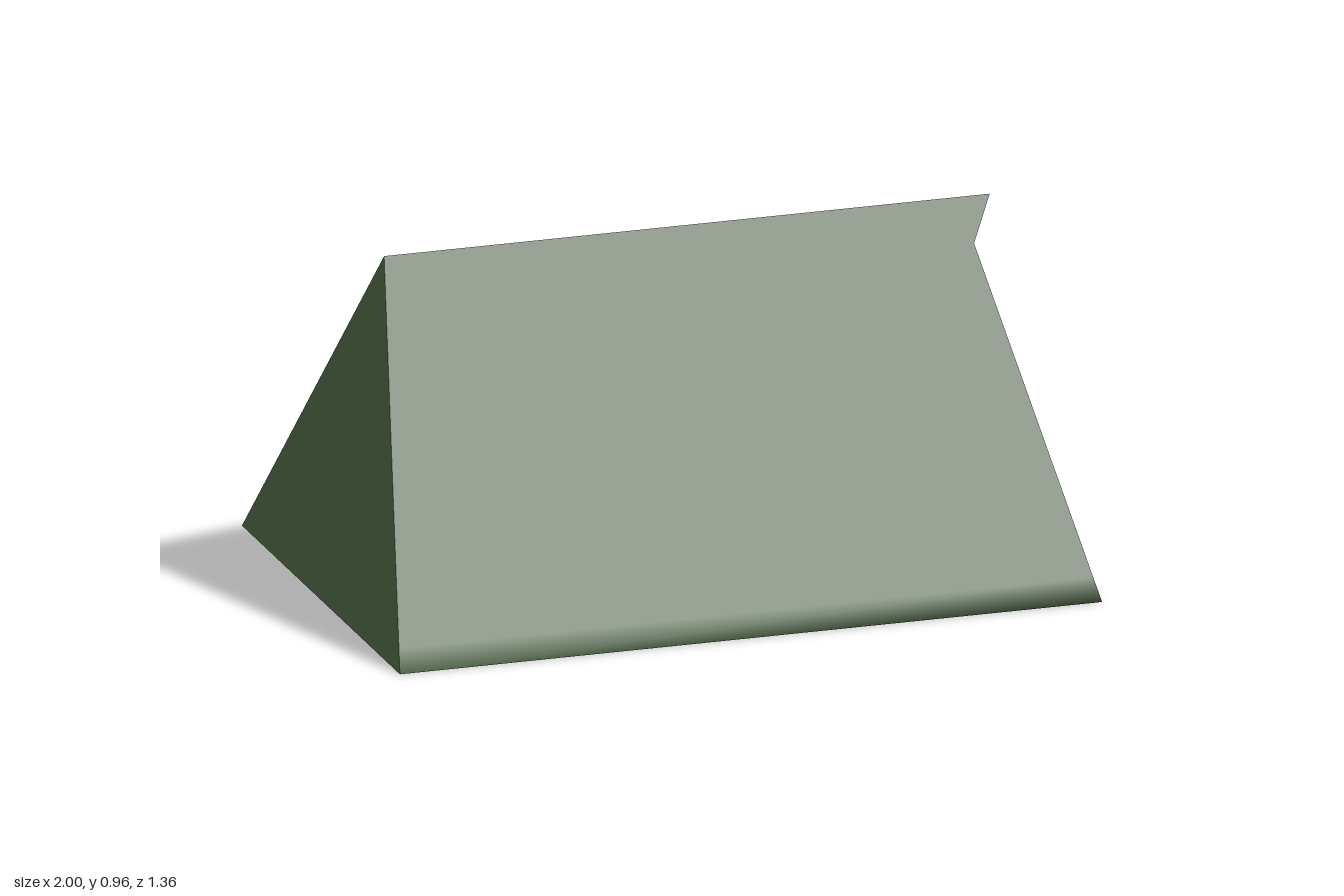
import * as THREE from 'three';

const H = 0.96;          // ridge height
const W = 0.68;          // half width at the ground
const BACK = 0.1875;     // lean of the back end
const FRONT = 0.1945;    // lean of the front end

const canvas = new THREE.MeshStandardMaterial({ color: 0x4a6342, side: THREE.DoubleSide });
const dark = new THREE.MeshStandardMaterial({ color: 0x0a0a0a, side: THREE.DoubleSide });

// Flat panel from corners listed counter-clockwise as seen from outside
function panel(name, corners, material = canvas) {
  const index = [];
  for (let i = 1; i < corners.length - 1; i++) index.push(0, i, i + 1);
  let geo = new THREE.BufferGeometry();
  geo.setAttribute('position', new THREE.Float32BufferAttribute(corners.flat(), 3));
  geo.setIndex(index);
  geo = geo.toNonIndexed();
  geo.computeVertexNormals();
  const mesh = new THREE.Mesh(geo, material);
  mesh.name = name;
  return mesh;
}

// Roof slopes and floor: one sheet wrapped from ridge to ridge, soft at the ground edge
function wrap() {
  const half = [H, 0.85, 0.06, 0].map((y) => [y, W * (1 - y / H)]);
  half.push([0, 0.62]);
  const rows = [...half, ...half.map(([y, z]) => [y, -z]).reverse()];
  const pos = [], index = [];
  rows.forEach(([y, z], i) => {
    const front = y === H ? 0.905 : 1 - FRONT * y; // the ridge juts out as a small peak
    pos.push(-1 + BACK * y, y, z, front, y, z);
    if (i < rows.length - 1) {
      const a = i * 2;
      index.push(a, a + 2, a + 1, a + 1, a + 2, a + 3);
    }
  });
  const geo = new THREE.BufferGeometry();
  geo.setAttribute('position', new THREE.Float32BufferAttribute(pos, 3));
  geo.setIndex(index);
  geo.computeVertexNormals();
  const mesh = new THREE.Mesh(geo, canvas);
  mesh.name = 'roofAndFloor';
  return mesh;
}

export function createModel() {
  const tent = new THREE.Group();
  tent.name = 'tent';
  tent.add(wrap());

  // Closed back end
  tent.add(panel('backWall', [[-1, 0, -W], [-1, 0, W], [-1 + BACK * H, H, 0]]));

  // Entrance: front flaps and the panels slanting in to the doorway
  const apex = [1 - FRONT * H, H, 0];
  const doorTop = [0.66, 0.61, 0];
  const foot = (s) => [1, 0, 0.34 * s];
  const doorFoot = (s) => [0.92, 0.045, 0.235 * s];
  for (const s of [1, -1]) {
    const side = s > 0 ? 'Left' : 'Right';
    const flap = [[1, 0, W * s], foot(s), apex];
    const reveal = [foot(s), doorFoot(s), doorTop, apex];
    if (s < 0) { flap.reverse(); reveal.reverse(); }
    tent.add(panel('flap' + side, flap), panel('doorReveal' + side, reveal));
  }
  tent.add(panel('doorSill', [foot(1), foot(-1), doorFoot(-1), doorFoot(1)]));
  tent.add(panel('doorway', [doorFoot(1), doorFoot(-1), doorTop], dark));
  return tent;
}
